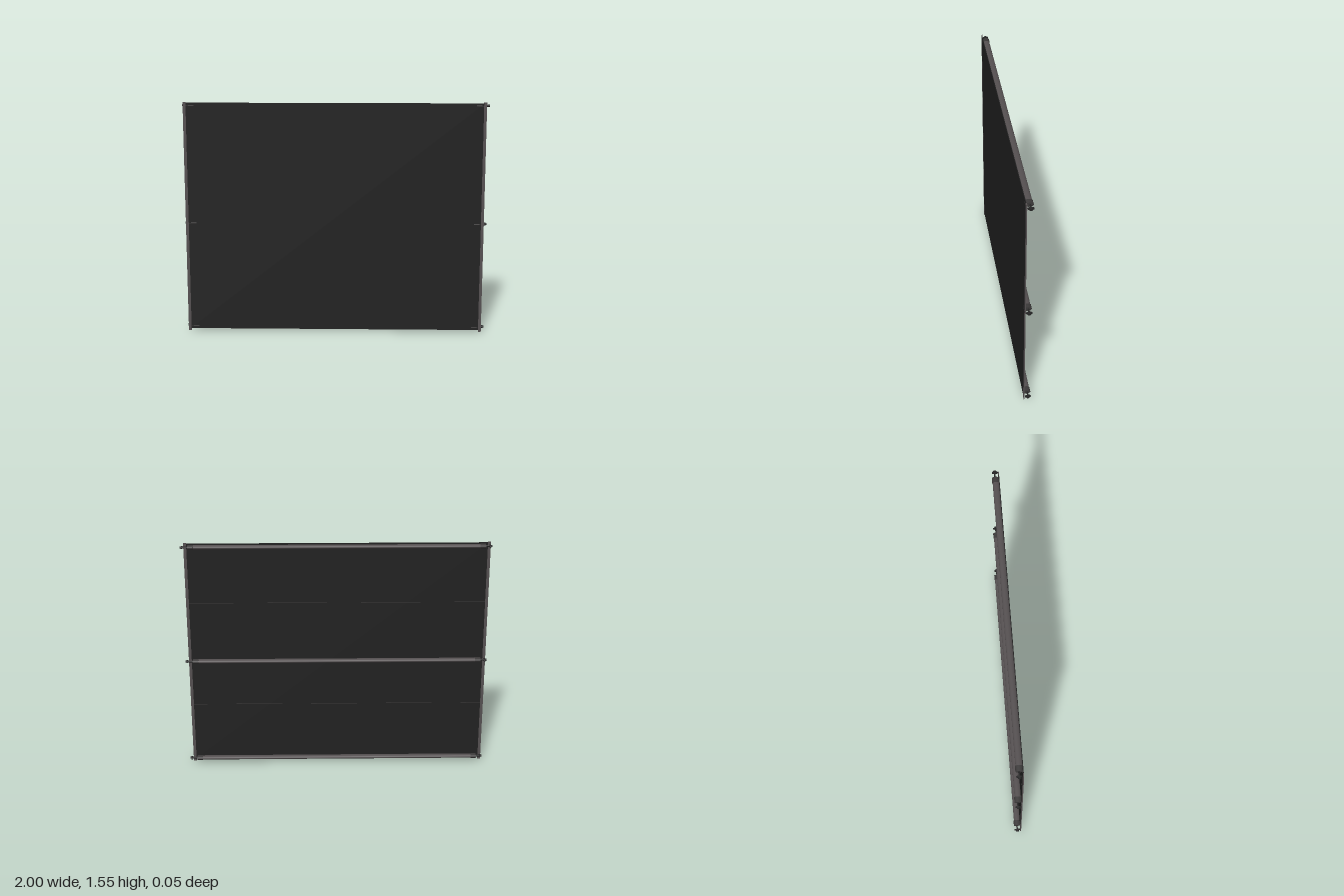
import * as THREE from 'three';

export function createModel() {
  const model = new THREE.Group();
  model.name = 'screenPanel';
  const material = (name, color) => {
    const m = new THREE.MeshStandardMaterial({ color });
    m.name = name;
    return m;
  };
  const fabric = material('black fabric', 0x212121);
  const metal = material('grey metal', 0x555051);
  const plastic = material('dark plastic', 0x3c3a3a);
  const rubber = material('black rubber', 0x262626);

  const add = (parent, name, geometry, mat, x, y, z) => {
    const mesh = new THREE.Mesh(geometry, mat);
    mesh.name = name;
    mesh.position.set(x, y, z);
    parent.add(mesh);
    return mesh;
  };
  // Oval bar lying along x
  const oval = (length, ry, rz) =>
    new THREE.CylinderGeometry(1, 1, length, 32).rotateZ(Math.PI / 2).scale(1, ry, rz);

  // Sheet and its side edging
  const cx = -0.007;
  add(model, 'sheet', new THREE.BoxGeometry(1.945, 1.53, 0.004), fabric, cx, 0.78, 0.0213);
  for (const side of [-1, 1]) {
    add(model, 'edgeStrip', new THREE.BoxGeometry(0.019, 1.55, 0.006), metal, cx + side * 0.977, 0.775, 0.021);
  }

  // Fine seams across the back
  for (const y of [0.424, 1.143]) {
    add(model, 'seam', new THREE.BoxGeometry(1.945, 0.002, 0.001), plastic, cx, y, 0.0192);
  }

  // Cross bars with end caps, pins and end fittings
  for (const y of [0.033, 0.743, 1.527]) {
    const bar = new THREE.Group();
    bar.name = 'crossBar';
    bar.position.y = y;
    model.add(bar);
    add(bar, 'tube', oval(1.86, 0.0125, 0.021), metal, -0.004, 0, 0);
    for (const side of [-1, 1]) {
      add(bar, 'endCap', oval(0.036, 0.0145, 0.024), plastic, -0.004 + side * 0.936, 0, 0);
      add(bar, 'pin', oval(0.045, 0.005, 0.005), rubber, side * 0.97, 0, -0.003);
      add(bar, 'endFitting', oval(0.009, 0.009, 0.019), rubber, side * 0.987, 0, -0.002);
      add(bar, 'fittingTip', oval(0.012, 0.007, 0.01), rubber, side * 0.994, 0, -0.002);
      // Clip tongue just proud of the sheet
      add(bar, 'clip', new THREE.BoxGeometry(0.045, 0.003, 0.006), plastic, cx + side * 0.943, -0.001, 0.021);
    }
  }
  return model;
}
